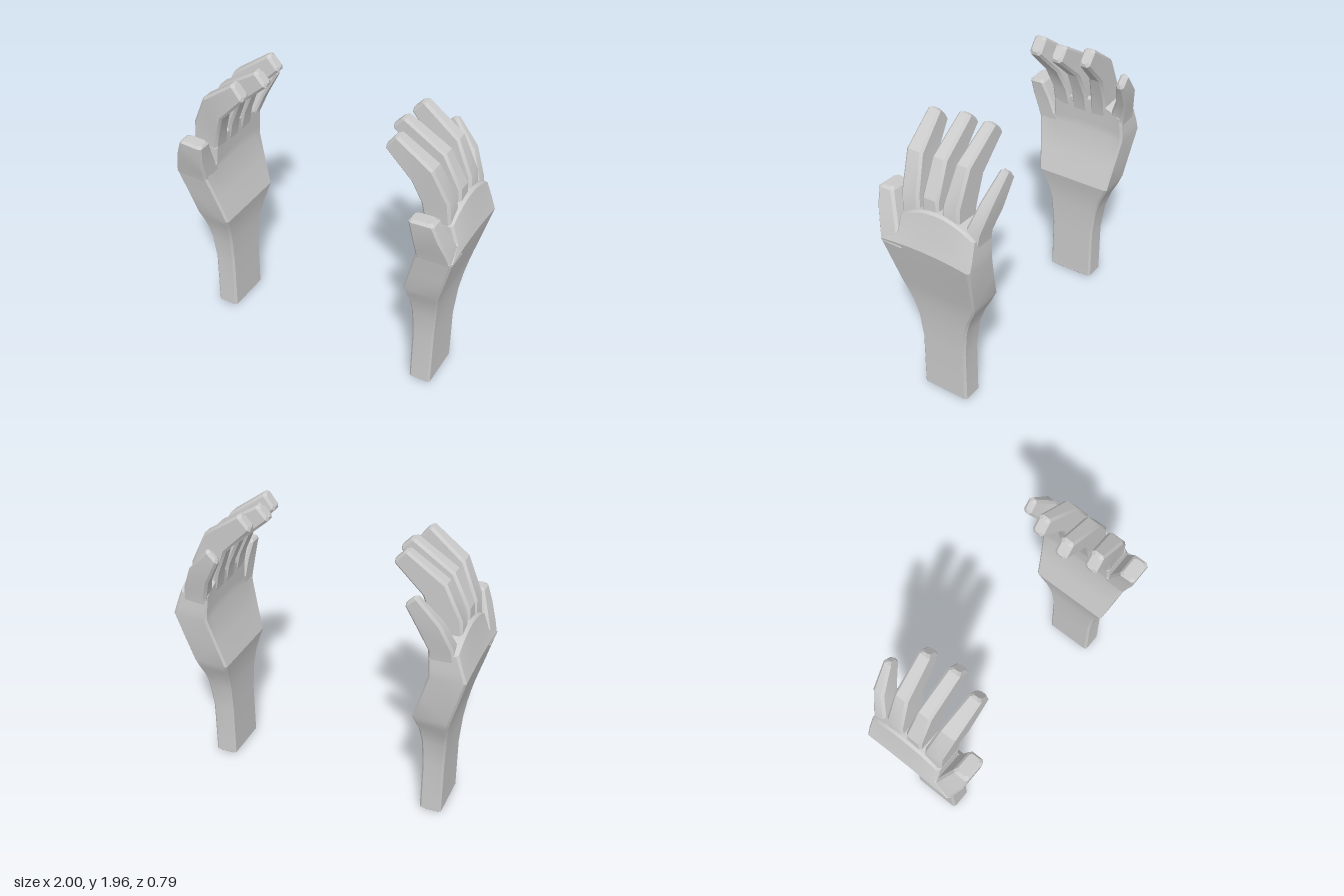
import * as THREE from 'three';
import { toCreasedNormals } from 'three/addons/utils/BufferGeometryUtils.js';

const material = new THREE.MeshStandardMaterial({ color: 0xcccccc });

// Each section: [back x, back y, palm x, palm y, z min, z max, arch]
// back = outer side of the hand, palm = inner side, arch lifts the middle.
const HAND = [
  [0.835, 0, 0.715, 0, -0.15, 0.155],
  [0.85, 0.015, 0.70, 0.015, -0.165, 0.17],
  [0.85, 0.4, 0.70, 0.4, -0.165, 0.165],
  [0.862, 0.6, 0.694, 0.6, -0.19, 0.182],
  [0.875, 0.71, 0.683, 0.71, -0.225, 0.207],
  [0.888, 0.79, 0.668, 0.79, -0.265, 0.235],
  [0.903, 0.86, 0.655, 0.85, -0.29, 0.262],
  [0.95, 1.03, 0.705, 1.03, -0.31, 0.29],
  [0.999, 1.215, 0.755, 1.21, -0.333, 0.325, 0.025],
  [0.975, 1.285, 0.752, 1.27, -0.333, 0.21, 0.03],
  [0.935, 1.395, 0.742, 1.385, -0.325, 0.205, 0.085],
];

const DIGITS = {
  thumb: [
    [0.997, 1.2, 0.757, 1.19, 0.15, 0.324],
    [0.98, 1.27, 0.752, 1.26, 0.195, 0.342],
    [0.937, 1.39, 0.745, 1.38, 0.24, 0.38],
    [0.895, 1.5, 0.728, 1.49, 0.285, 0.395],
  ],
  indexFinger: [
    [0.922, 1.38, 0.748, 1.37, 0.07, 0.203],
    [0.905, 1.55, 0.722, 1.50, 0.085, 0.21],
    [0.80, 1.77, 0.665, 1.65, 0.125, 0.24],
    [0.575, 1.935, 0.495, 1.83, 0.16, 0.248],
  ],
  middleFinger: [
    [0.922, 1.38, 0.748, 1.37, -0.065, 0.056],
    [0.908, 1.56, 0.722, 1.50, -0.06, 0.056],
    [0.795, 1.775, 0.65, 1.67, -0.044, 0.058],
    [0.53, 1.94, 0.447, 1.85, -0.027, 0.06],
  ],
  ringFinger: [
    [0.922, 1.38, 0.748, 1.37, -0.207, -0.08],
    [0.908, 1.56, 0.722, 1.50, -0.208, -0.09],
    [0.80, 1.785, 0.655, 1.68, -0.21, -0.112],
    [0.56, 1.955, 0.475, 1.86, -0.217, -0.137],
  ],
  littleFinger: [
    [0.922, 1.32, 0.752, 1.31, -0.325, -0.225],
    [0.905, 1.43, 0.745, 1.40, -0.337, -0.238],
    [0.83, 1.61, 0.70, 1.53, -0.377, -0.295],
    [0.69, 1.772, 0.615, 1.695, -0.394, -0.338],
  ],
};

// Adds a smaller last section so the end is bevelled
function bevelEnd(rows, c) {
  const [ox, oy, ix, iy, z0, z1, arch] = rows.at(-1);
  const p = rows.at(-2);
  const dir = new THREE.Vector2(ox + ix - p[0] - p[2], oy + iy - p[1] - p[3]).normalize().multiplyScalar(c);
  const across = new THREE.Vector2(ox - ix, oy - iy).normalize().multiplyScalar(c);
  return [...rows, [
    ox - across.x + dir.x, oy - across.y + dir.y,
    ix + across.x + dir.x, iy + across.y + dir.y,
    z0 + c, z1 - c, arch,
  ]];
}

// Lofts a chamfered box through the sections; side = -1 mirrors it in x
function loft(rows, c, n, side) {
  const pos = [], idx = [];
  for (const [ox, oy, ix, iy, z0, z1, arch = 0] of rows) {
    const ct = c / Math.hypot(ox - ix, oy - iy);
    const ring = [];
    const row = [];
    for (let k = 0; k <= n; k++) row.push(z0 + c + (z1 - z0 - 2 * c) * k / n);
    row.forEach((z) => ring.push([1, z]));
    ring.push([1 - ct, z1], [ct, z1]);
    row.reverse().forEach((z) => ring.push([0, z]));
    ring.push([ct, z0], [1 - ct, z0]);
    for (const [t, z] of ring) {
      const w = (2 * z - z0 - z1) / (z1 - z0);
      pos.push(side * (ix + (ox - ix) * t), iy + (oy - iy) * t + arch * (1 - w * w), z);
    }
  }
  const N = 2 * n + 6, last = (rows.length - 1) * N;
  const tri = (a, b, d) => (side > 0 ? idx.push(a, b, d) : idx.push(a, d, b));
  for (let i = 0; i < last; i += N) {
    for (let j = 0; j < N; j++) {
      const a = i + j, b = i + (j + 1) % N;
      tri(a, a + N, b);
      tri(b, a + N, b + N);
    }
  }
  // end caps: strips between the back and palm rows, plus the chamfered ends
  const cap = (o, f) => {
    const q = (a, b, d, e) => { f(o + a, o + b, o + d); f(o + a, o + d, o + e); };
    for (let k = 0; k < n; k++) q(k, k + 1, 2 * n + 2 - k, 2 * n + 3 - k);
    q(n, n + 1, n + 2, n + 3);
    q(2 * n + 3, 2 * n + 4, 2 * n + 5, 0);
  };
  cap(0, tri);
  cap(last, (a, b, d) => tri(a, d, b));
  const geo = new THREE.BufferGeometry();
  geo.setAttribute('position', new THREE.Float32BufferAttribute(pos, 3));
  geo.setIndex(idx);
  return toCreasedNormals(geo, 0.4);
}

function makeHand(side) {
  const hand = new THREE.Group();
  hand.name = side > 0 ? 'leftHand' : 'rightHand';
  const add = (name, rows, c, n) => {
    const mesh = new THREE.Mesh(loft(bevelEnd(rows, c), c, n, side), material);
    mesh.name = name;
    hand.add(mesh);
  };
  // forearm, wrist and palm in one body
  add('forearmAndPalm', HAND, 0.014, 8);
  // thumb and four fingers, rooted inside the palm
  for (const [name, rows] of Object.entries(DIGITS)) add(name, rows, 0.016, 1);
  return hand;
}

export function createModel() {
  const model = new THREE.Group();
  model.name = 'pairOfHands';
  model.add(makeHand(1), makeHand(-1));
  return model;
}
